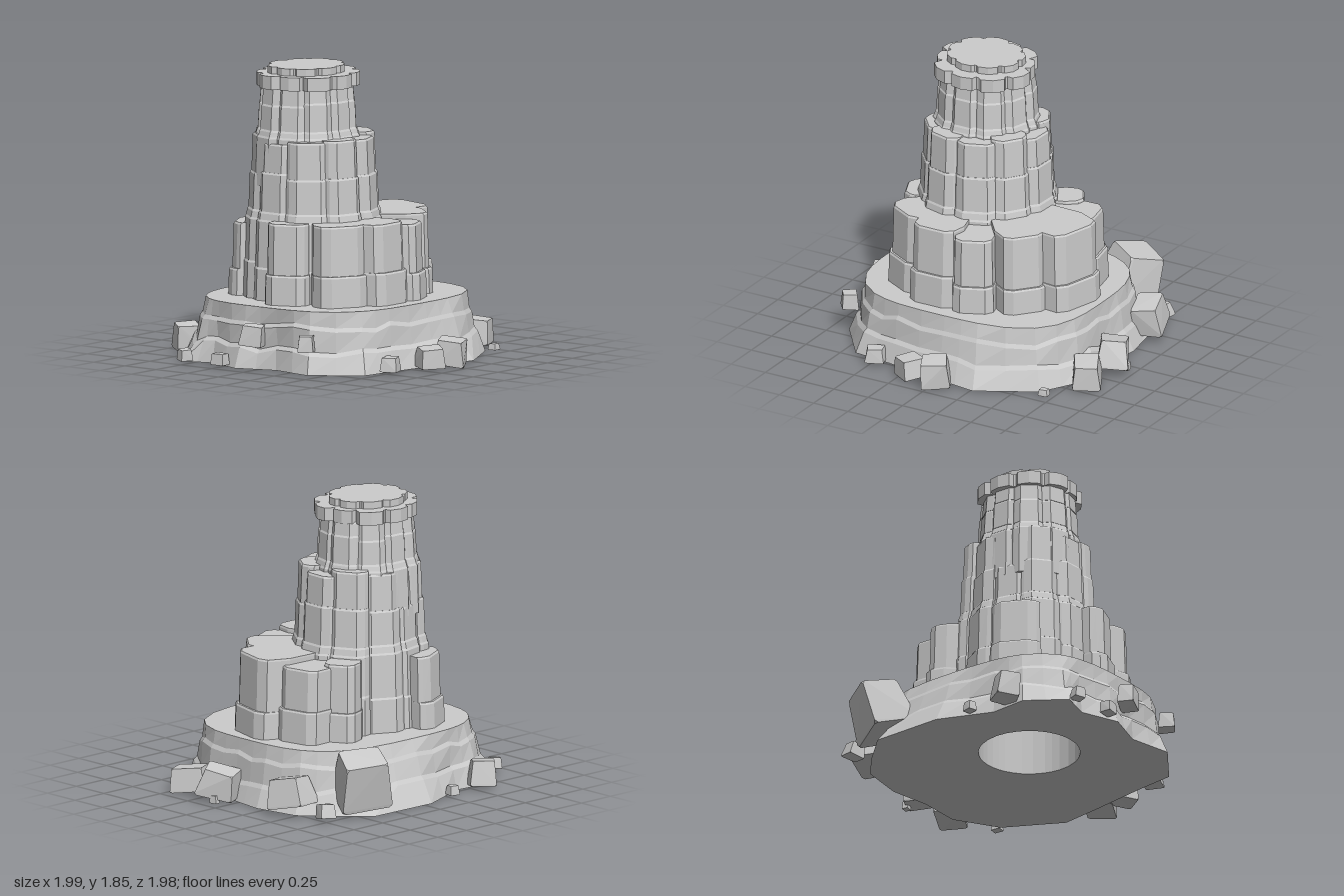
import * as THREE from 'three';
import { ConvexGeometry } from 'three/addons/geometries/ConvexGeometry.js';

const material = new THREE.MeshStandardMaterial({ color: 0xcccccc, flatShading: true });
const AXIS = { x: -0.2, z: -0.12 }; // centre line of the tower

let seed = 7;
const rand = (amount = 1) => {
  seed = (seed * 16807) % 2147483647;
  return ((seed / 2147483647) * 2 - 1) * amount;
};

// Skin a stack of equal-length rings of [x, y, z] points, optionally capped
function loft(rings, capped = true) {
  const n = rings[0].length;
  const pos = rings.flat(2);
  const index = [];
  for (let i = 0; i < rings.length - 1; i++) {
    for (let j = 0; j < n; j++) {
      const a = i * n + j, b = i * n + ((j + 1) % n);
      index.push(a, a + n, b, a + n, b + n, b);
    }
  }
  if (capped) {
    for (const [k, up] of [[0, false], [rings.length - 1, true]]) {
      const c = pos.length / 3;
      for (let m = 0; m < 3; m++) pos.push(rings[k].reduce((s, p) => s + p[m], 0) / n);
      for (let j = 0; j < n; j++) {
        const a = k * n + j, b = k * n + ((j + 1) % n);
        index.push(c, up ? b : a, up ? a : b);
      }
    }
  }
  const geometry = new THREE.BufferGeometry();
  geometry.setAttribute('position', new THREE.Float32BufferAttribute(pos, 3));
  geometry.setIndex(index);
  geometry.computeVertexNormals();
  return geometry;
}

function add(parent, name, geometry) {
  const mesh = new THREE.Mesh(geometry, material);
  mesh.name = name;
  parent.add(mesh);
  return mesh;
}

// Wedge-shaped stone column; (x, z) is the middle of its outer face.
// steps: [y, grow] from the bottom up, each block a little slimmer than the one below
function column(x, z, halfWidth, top, rIn, steps) {
  const dx = x - AXIS.x, dz = z - AXIS.z;
  const r = Math.hypot(dx, dz), c = dx / r, s = dz / r;
  const ring = (y, grow) => {
    const R = r + grow, w = halfWidth + grow * 0.4, d = R - rIn;
    const half = [[rIn, w * 0.55], [R - d * 0.32, w], [R - 0.035, w * 0.88], [R, w * 0.55]];
    const outline = [...half.map(([a, t]) => [a, -t]), ...half.reverse()];
    return outline.map(([a, t]) => [AXIS.x + c * a - s * t, y, AXIS.z + s * a + c * t]);
  };
  const rings = [];
  steps.forEach(([y, grow], i) => {
    const end = i + 1 < steps.length ? steps[i + 1][0] : top;
    rings.push(ring(y, grow), ring(end - 0.012, grow - 0.008), ring(end, grow - 0.016));
  });
  return loft(rings);
}

// Flared rocky skirt with zigzag strata and a hole through the middle
function baseGeometry() {
  const foot = [
    [0.79, 0.08], [0.8, 0.36], [0.64, 0.64], [0.27, 0.84], [-0.02, 0.8], [-0.4, 0.74], [-0.66, 0.71],
    [-0.88, 0.42], [-0.83, 0.13], [-0.92, -0.13], [-0.83, -0.38], [-0.89, -0.58], [-0.65, -0.75],
    [-0.4, -0.73], [-0.05, -0.87], [0.43, -0.86], [0.62, -0.68], [0.78, -0.5], [0.83, -0.2]];
  const points = foot.flatMap((p, i) => {
    const q = foot[(i + 1) % foot.length];
    return [p, [(p[0] + q[0]) / 2, (p[1] + q[1]) / 2]];
  });
  const rim = ([x, z]) => {
    const a = Math.atan2(z, x + 0.05), c = Math.cos(a), s = Math.sin(a);
    const k = (Math.abs(c / 0.77) ** 3.2 + Math.abs(s / 0.69) ** 3.2) ** (-1 / 3.2);
    return [-0.05 + c * k, -0.005 + s * k];
  };
  const layer = (y, t, zigzag) => points.map((p) => {
    const q = rim(p);
    return [p[0] + (q[0] - p[0]) * t, y + rand(zigzag), p[1] + (q[1] - p[1]) * t];
  });
  const hole = (y) => points.map((p) => {
    const a = Math.atan2(p[1], p[0] + 0.05);
    return [AXIS.x + 0.32 * Math.cos(a), y, AXIS.z + 0.32 * Math.sin(a)];
  });
  const low = layer(0.12, 0.42, 0.025), high = layer(0.27, 0.74, 0.02);
  const ledge = (ring, t) => ring.map(([x, y, z]) => [x * t, y + 0.025, z * t]);
  const bottom = layer(0, 0, 0);
  return loft([bottom, low, ledge(low, 0.975), high, ledge(high, 0.98),
    layer(0.39, 1, 0), hole(0.39), hole(0), bottom], false);
}

// Notched slab that follows the column heads
function slab(y0, y1, rx, rz, lobes, notch) {
  const outline = [];
  for (let i = 0; i < lobes; i++) {
    const k = 1 + rand(0.05);
    for (const [f, m] of [[0.04, notch], [0.14, 1], [0.5, 1.03], [0.86, 1], [0.96, notch]]) {
      const a = ((i + f) / lobes) * Math.PI * 2;
      outline.push([AXIS.x + Math.cos(a) * rx * k * m, AXIS.z + Math.sin(a) * rz * k * m]);
    }
  }
  return loft([y0, y1].map((y) => outline.map(([x, z]) => [x, y, z])));
}

// Chipped block: a jittered box with cut corners
function boulder(w, h, d) {
  const points = [];
  for (const i of [-1, 1]) for (const j of [-1, 1]) for (const k of [-1, 1]) {
    const taper = j > 0 ? 0.84 : 1, cut = 0.86;
    const p = [i * w * taper * (1 + rand(0.1)), j * h * (1 + rand(0.06)), k * d * taper * (1 + rand(0.1))];
    for (let m = 0; m < 3; m++) {
      points.push(new THREE.Vector3(...p.map((v, n) => (n === m ? v * cut : v) / 2)));
    }
  }
  return new ConvexGeometry(points);
}

export function createModel() {
  const model = new THREE.Group();
  model.name = 'rockTower';
  add(model, 'base', baseGeometry());

  const group = (name) => {
    const g = new THREE.Group();
    g.name = name;
    model.add(g);
    return g;
  };

  // Lower tier: outer x, outer z, half width, top
  const lower = group('lowerColumns');
  [[-0.2, 0.55, 0.16, 0.9], [0.09, 0.53, 0.13, 0.87], [0.37, 0.36, 0.15, 0.9], [0.6, 0.1, 0.2, 0.9],
    [0.53, -0.26, 0.15, 0.86], [0.33, -0.42, 0.11, 0.88], [-0.4, -0.52, 0.15, 0.85],
    [-0.66, 0.07, 0.13, 0.9], [-0.5, 0.41, 0.16, 0.9]].forEach(([x, z, w, top], i) => {
    const split = 0.57 + rand(0.035);
    add(lower, `lowerColumn${i + 1}`, column(x, z, w, top, 0.27, [[0.3, 0.045], [split, 0.016]]));
  });

  // Middle tier
  const middle = group('middleColumns');
  [[-0.31, 0.27, 0.12, 1.41], [-0.05, 0.26, 0.13, 1.4], [0.14, 0.12, 0.12, 1.42], [0.22, -0.1, 0.13, 1.39],
    [0.15, -0.31, 0.12, 1.43], [-0.05, -0.41, 0.12, 1.4], [-0.27, -0.41, 0.11, 1.36],
    [-0.46, -0.33, 0.11, 1.42], [-0.54, -0.12, 0.12, 1.38], [-0.49, 0.12, 0.13, 1.4]].forEach(([x, z, w, top], i) => {
    const split = 1.18 + rand(0.02);
    add(middle, `middleColumn${i + 1}`, column(x, z, w, top, 0.2,
      [[0.35, 0.075], [0.6 + rand(0.05), 0.06], [0.9, 0.045], [0.95, 0.03], [split, 0.012]]));
  });

  // Upper tier: a ring of slim columns
  const upper = group('upperColumns');
  const count = 10;
  for (let i = 0; i < count; i++) {
    const a = ((i + 0.5) / count) * Math.PI * 2;
    const k = 1 + rand(0.04);
    add(upper, `upperColumn${i + 1}`, column(AXIS.x + Math.cos(a) * 0.3 * k, AXIS.z + Math.sin(a) * 0.275 * k,
      0.096, 1.73, 0.12, [[1.1, 0.05], [1.42, 0.035], [1.46, 0.022], [1.63 + rand(0.02), 0.01]]));
  }
  add(model, 'capSlab', slab(1.72, 1.805, 0.325, 0.3, count, 0.9));
  add(model, 'topSlab', slab(1.8, 1.85, 0.262, 0.228, 9, 0.92));

  // Fallen rocks: x, y, z, width, height, depth, turn, tilt
  const rocks = group('rocks');
  [[0.47, 0.24, -0.79, 0.32, 0.3, 0.3, -0.5, -0.3], [0.78, 0.15, -0.46, 0.2, 0.18, 0.24, 0.3, 0.2],
    [0.86, 0.12, 0.1, 0.19, 0.17, 0.24, 0.5, -0.2], [0.84, 0.09, 0.39, 0.18, 0.15, 0.22, 0.5, 0.1],
    [0.01, 0.09, 0.87, 0.19, 0.16, 0.18, 0.5, 0.1], [-0.18, 0.075, 0.85, 0.17, 0.12, 0.16, -0.6, 0.1],
    [-0.48, 0.06, 0.77, 0.12, 0.09, 0.1, 0.4, 0], [-0.56, 0.1, -0.8, 0.17, 0.16, 0.15, -0.6, 0.1],
    [-0.9, 0.22, 0, 0.11, 0.13, 0.15, 0.4, 0.1], [-0.88, 0.2, 0.41, 0.1, 0.1, 0.1, 0.6, 0],
    [-0.93, 0.05, -0.24, 0.08, 0.07, 0.09, 0.1, 0], [-0.92, 0.05, -0.53, 0.08, 0.07, 0.07, -0.4, 0.1],
    [-0.28, 0.04, -0.82, 0.07, 0.06, 0.06, -0.2, 0], [0.73, 0.06, -0.72, 0.1, 0.09, 0.1, -0.3, 0.2],
    [0.69, 0.025, 0.67, 0.06, 0.04, 0.05, 0.1, 0], [0.94, 0.03, 0.07, 0.04, 0.05, 0.05, 0.2, 0]
  ].forEach(([x, y, z, w, h, d, turn, tilt], i) => {
    const rock = add(rocks, `rock${i + 1}`, boulder(w, h, d));
    rock.position.set(x, y, z);
    rock.rotation.set(tilt, turn, tilt * 0.4, 'YXZ');
  });
  return model;
}
